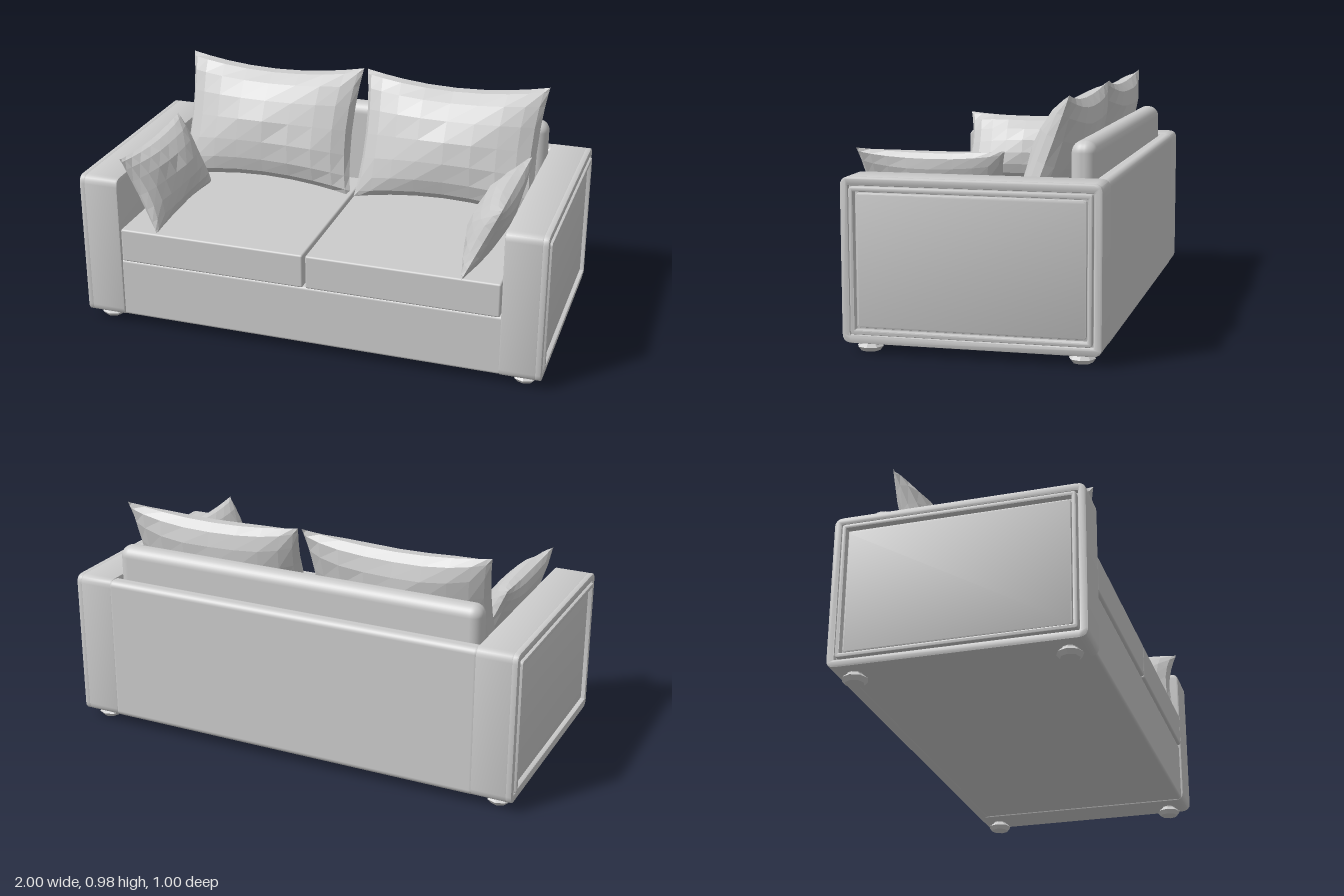
import * as THREE from 'three';
import { mergeGeometries, mergeVertices, toCreasedNormals } from 'three/addons/utils/BufferGeometryUtils.js';
import { RoundedBoxGeometry } from 'three/addons/geometries/RoundedBoxGeometry.js';

const fabric = new THREE.MeshStandardMaterial({ color: 0xcccccc });
const softFabric = new THREE.MeshStandardMaterial({ color: 0xcccccc, flatShading: true });

function add(parent, name, geometry, material = fabric) {
  const mesh = new THREE.Mesh(geometry, material);
  mesh.name = name;
  parent.add(mesh);
  return mesh;
}

// Rounded block given by its minimum and maximum corners
function block(parent, name, [x0, y0, z0], [x1, y1, z1], radius, segments = 2) {
  const mesh = add(parent, name, new RoundedBoxGeometry(x1 - x0, y1 - y0, z1 - z0, segments, radius));
  mesh.position.set((x0 + x1) / 2, (y0 + y1) / 2, (z0 + z1) / 2);
  return mesh;
}

// Side outline of the arm, moved inwards by an inset
function outline(path, inset) {
  const w = 0.5 - inset, b = 0.04 + inset, t = 0.675 - inset;
  const r = Math.max(0.008, 0.035 - inset);
  path.moveTo(-w + r, b);
  path.lineTo(w - r, b);
  path.quadraticCurveTo(w, b, w, b + r);
  path.lineTo(w, t - r);
  path.quadraticCurveTo(w, t, w - r, t);
  path.lineTo(-w + r, t);
  path.quadraticCurveTo(-w, t, -w, t - r);
  path.lineTo(-w, b + r);
  path.quadraticCurveTo(-w, b, -w + r, b);
  return path;
}

// Slab (or frame, when an inner inset is given) between two x positions
function armSlab(x0, x1, inset, innerInset, bevel) {
  const shape = outline(new THREE.Shape(), inset + bevel);
  if (innerInset) shape.holes.push(outline(new THREE.Path(), innerInset - bevel));
  const geometry = new THREE.ExtrudeGeometry(shape, {
    depth: x1 - x0 - 2 * bevel, bevelThickness: bevel, bevelSize: bevel,
    bevelSegments: 2, curveSegments: 4,
  });
  geometry.translate(0, 0, x0 + bevel).rotateY(Math.PI / 2);
  return toCreasedNormals(geometry, 0.6);
}

// Stuffed cushion: two bulging faces that meet in a seam with pointed corners
function cushionGeometry(width, height, front, back, pinchX, pinchY, seed) {
  const face = (depth, flip) => {
    const g = new THREE.PlaneGeometry(2, 2, 10, 8);
    const p = g.attributes.position;
    for (let i = 0; i < p.count; i++) {
      const u = Math.sin(p.getX(i) * Math.PI / 2), v = Math.sin(p.getY(i) * Math.PI / 2);
      const cu = 1 - u * u, cv = 1 - v * v;
      const bulge = Math.sqrt(Math.max(0, cu * cv));
      const crumple = 1 + 0.07 * Math.sin(5 * u + seed) * Math.sin(4 * v + 2 * seed);
      p.setXYZ(i,
        u * width / 2 * (1 - pinchX * cv),
        v * height / 2 * (1 - pinchY * cu),
        depth * bulge * crumple);
    }
    return flip ? g.rotateY(Math.PI) : g;
  };
  const merged = mergeGeometries([face(front, false), face(back, true)]);
  merged.deleteAttribute('uv');
  merged.deleteAttribute('normal');
  const geometry = mergeVertices(merged, 1e-4);
  geometry.computeVertexNormals();
  return geometry;
}

export function createModel() {
  const sofa = new THREE.Group();
  sofa.name = 'sofa';

  // Body
  block(sofa, 'seatBase', [-0.83, 0.045, -0.48], [0.83, 0.305, 0.49], 0.012);
  block(sofa, 'backPanel', [-0.84, 0.042, -0.5], [0.84, 0.672, -0.43], 0.025, 3);
  block(sofa, 'backBolster', [-0.815, 0.35, -0.44], [0.815, 0.81, -0.34], 0.045, 4);

  for (const side of [-1, 1]) {
    const label = side > 0 ? 'left' : 'right';

    // Arm with a framed side panel
    const arm = new THREE.Group();
    arm.name = label + 'Arm';
    arm.scale.x = side;
    sofa.add(arm);
    add(arm, 'armBody', armSlab(0.82, 0.972, 0, 0, 0.006));
    add(arm, 'armOuterFrame', armSlab(0.965, 0.992, 0, 0.032, 0.006));
    add(arm, 'armBead', armSlab(0.965, 1.0, 0.036, 0.054, 0.005));
    add(arm, 'armPanel', armSlab(0.965, 0.985, 0.06, 0, 0.005));

    // Feet
    const footProfile = [[0, 0], [0.038, 0], [0.052, 0.017], [0.03, 0.036], [0.03, 0.05], [0, 0.05]]
      .map(([x, y]) => new THREE.Vector2(x, y));
    for (const z of [0.413, -0.413]) {
      const foot = add(sofa, label + (z > 0 ? 'FrontFoot' : 'BackFoot'),
        new THREE.LatheGeometry(footProfile, 8), softFabric);
      foot.position.set(side * 0.915, 0, z);
    }

    // Seat cushion
    const seat = [side * 0.006, side * 0.815].sort((a, b) => a - b);
    block(sofa, label + 'SeatCushion', [seat[0], 0.306, -0.36], [seat[1], 0.452, 0.5], 0.008);

    // Back cushion, leaning against the bolster
    const backCushion = add(sofa, label + 'BackCushion',
      cushionGeometry(0.81, 0.566, 0.118, 0.112, 0.06, 0.15, side), softFabric);
    backCushion.position.set(side * 0.413, 0.716, -0.24);
    backCushion.rotation.x = -0.36;

    // Small cushion, leaning against the arm
    const armCushion = add(sofa, label + 'ArmCushion',
      cushionGeometry(0.59, 0.35, 0.095, 0.06, 0.08, 0.1, side + 2), softFabric);
    armCushion.rotation.order = 'YXZ';
    armCushion.rotation.set(-0.44, -side * Math.PI / 2, 0);
    armCushion.position.set(side * 0.73, 0.606, side > 0 ? 0.205 : 0.19);
  }
  return sofa;
}
